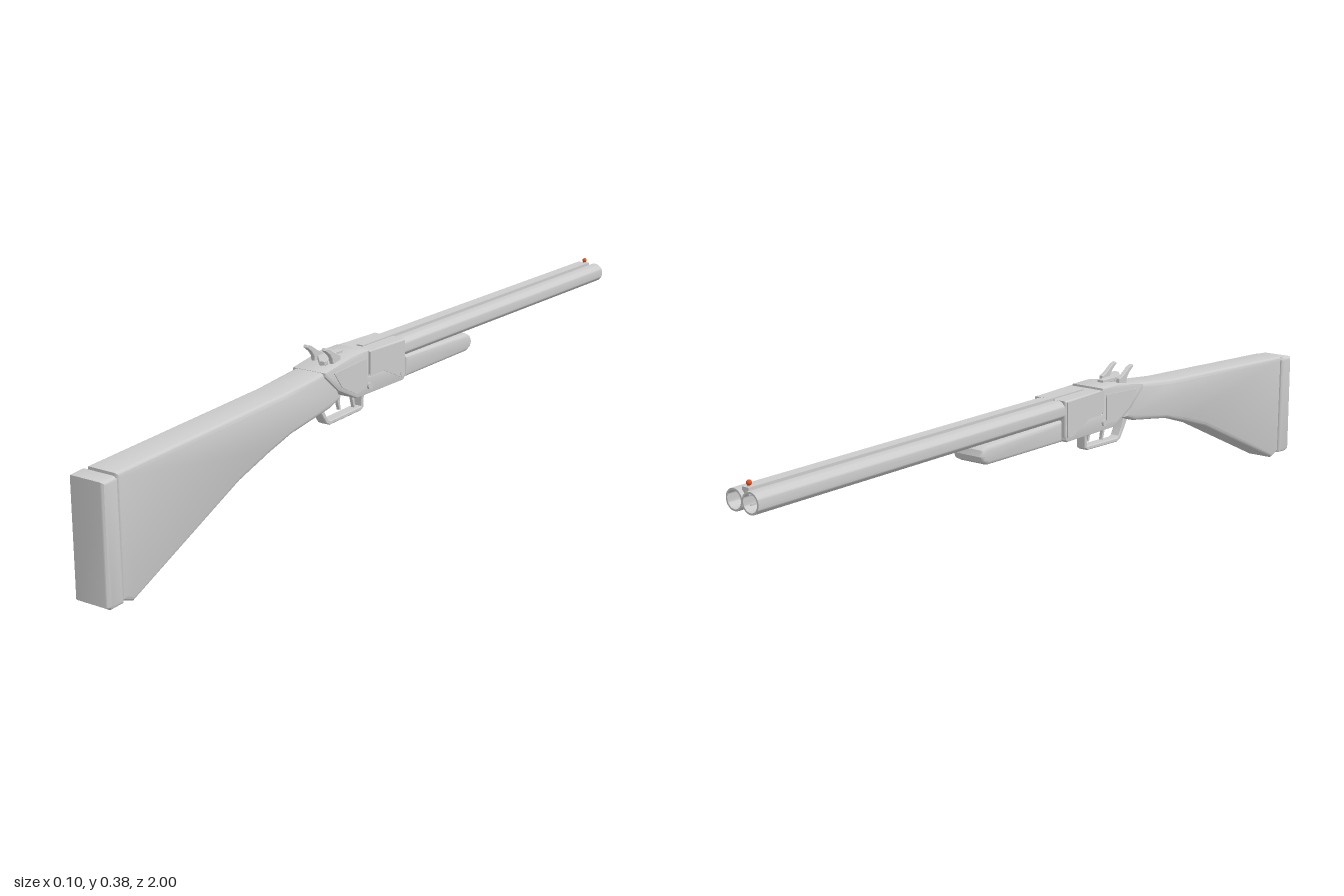
import * as THREE from 'three';
import { toCreasedNormals } from 'three/addons/utils/BufferGeometryUtils.js';

const grey = new THREE.MeshStandardMaterial({ color: 0xcccccc });
const beadRed = new THREE.MeshStandardMaterial({ color: 0xe8501e });

export function createModel() {
  const group = new THREE.Group();

  const add = (name, geometry, x = 0, y = 0, z = 0, material = grey) => {
    const mesh = new THREE.Mesh(geometry, material);
    mesh.name = name;
    mesh.position.set(x, y, z);
    group.add(mesh);
    return mesh;
  };

  // Side outline of [z, y] points, extruded across x with rounded edges
  const slab = (points, width, bevel = 0, segments = 3) => {
    const shape = new THREE.Shape(points.map(([z, y]) => new THREE.Vector2(z, y)));
    const geometry = new THREE.ExtrudeGeometry(shape, {
      depth: width - 2 * bevel, bevelEnabled: bevel > 0, bevelSize: bevel,
      bevelThickness: bevel, bevelOffset: -bevel, bevelSegments: segments,
    });
    geometry.translate(0, 0, bevel - width / 2);
    geometry.rotateY(-Math.PI / 2);
    return toCreasedNormals(geometry, 0.6);
  };

  // Stock and butt pad
  add('stock', slab([
    [0.955, 0.28], [0.42, 0.31], [0.25, 0.328], [0.22, 0.25], [0.26, 0.235],
    [0.4, 0.213], [0.48, 0.19], [0.58, 0.157], [0.92, 0], [0.952, 0.012],
  ], 0.084, 0.01));
  add('buttPad', slab([
    [1, 0.274], [0.962, 0.277], [0.955, 0.27], [0.952, 0.008], [0.99, 0.006], [1, 0.012],
  ], 0.092, 0.008));

  // Receiver with its sloping rear
  add('receiver', slab([
    [0.285, 0.325], [0.18, 0.342], [0.118, 0.342], [0.118, 0.28], [-0.028, 0.28],
    [-0.028, 0.244], [-0.022, 0.238], [0.165, 0.238], [0.235, 0.272], [0.285, 0.315],
  ], 0.094, 0.004, 2));
  add('barrelBlock', slab([
    [0.114, 0.338], [-0.03, 0.338], [-0.03, 0.25], [0.114, 0.25],
  ], 0.092, 0.003, 1));

  // Raised plates and hinge pin on both sides
  for (const side of [-1, 1]) {
    add('sidePlate', slab([
      [0.118, 0.338], [0.118, 0.285], [0.06, 0.28], [0.02, 0.262], [-0.005, 0.25],
      [-0.024, 0.25], [-0.024, 0.335],
    ], 0.004), side * 0.0475);
    add('lockPlate', slab([
      [0.255, 0.318], [0.13, 0.325], [0.13, 0.255], [0.17, 0.25], [0.225, 0.278],
    ], 0.003), side * 0.0475);
  }
  add('breechPin', new THREE.CylinderGeometry(0.008, 0.008, 0.104, 16).rotateZ(Math.PI / 2), 0, 0.258, 0.12);
  add('hingePin', new THREE.CylinderGeometry(0.009, 0.009, 0.1, 16).rotateZ(Math.PI / 2), 0, 0.258, -0.014);

  // Twin barrels, hollow from the muzzle
  const bore = [[0, 0.09], [0.024, 0.09], [0.024, -0.998], [0.0235, -1], [0.0195, -1], [0.0195, -0.3], [0, -0.3]]
    .map(([r, z]) => new THREE.Vector2(r, -z));
  const tube = toCreasedNormals(
    new THREE.LatheGeometry(bore, 32).rotateX(-Math.PI / 2), 0.6);
  tube.computeBoundingBox();
  for (const side of [-1, 1]) {
    const barrel = add('barrel', tube, side * 0.0225, 0.314, 0);
    barrel.material = new THREE.MeshStandardMaterial({ color: 0xcccccc, side: THREE.DoubleSide });
  }

  // Sighting rib, lower rib and bead
  add('topRib', new THREE.BoxGeometry(0.018, 0.016, 1.08), 0, 0.333, -0.45);
  add('lowerRib', new THREE.BoxGeometry(0.014, 0.012, 1.05), 0, 0.3, -0.46);
  add('sightPost', new THREE.CylinderGeometry(0.003, 0.004, 0.008, 12), 0, 0.343, -0.98);
  add('sightBead', new THREE.SphereGeometry(0.006, 16, 12), 0, 0.348, -0.98, beadRed);

  // Forend with a rounded nose, and its iron
  add('forend', slab([
    [-0.036, 0.292], [-0.31, 0.288], [-0.324, 0.28], [-0.33, 0.266], [-0.324, 0.252],
    [-0.308, 0.244], [-0.036, 0.241],
  ], 0.088, 0.009));
  add('forendIron', slab([
    [-0.036, 0.29], [-0.165, 0.29], [-0.135, 0.238], [-0.036, 0.238],
  ], 0.034, 0.002, 1));

  // Trigger guard: a bent strap
  add('triggerGuard', slab([
    [0.27, 0.24], [0.255, 0.215], [0.238, 0.19], [0.225, 0.184], [0.102, 0.188], [0.092, 0.194],
    [0.09, 0.245], [0.099, 0.245], [0.101, 0.198], [0.222, 0.194],
    [0.231, 0.198], [0.242, 0.216], [0.255, 0.246],
  ], 0.026, 0.002, 1));

  // Two curved triggers
  for (const [x, z] of [[-0.008, 0.167], [0.008, 0.132]]) {
    add('trigger', slab([
      [-0.008, 0.245], [-0.003, 0.222], [-0.007, 0.202], [-0.001, 0.202],
      [0.005, 0.222], [0.008, 0.245],
    ], 0.009, 0.001, 1), x, 0, z);
  }

  // Hammers with swept-back spurs
  for (const side of [-1, 1]) {
    add('hammer', slab([
      [0.235, 0.325], [0.205, 0.33], [0.207, 0.348], [0.225, 0.356], [0.248, 0.371],
      [0.262, 0.375], [0.266, 0.37], [0.248, 0.357], [0.238, 0.345],
    ], 0.011, 0.0015, 1), side * 0.0255);
  }

  // Top lever, angled towards one side
  const lever = new THREE.Shape([
    [-0.007, -0.17], [0.007, -0.17], [0.009, -0.225], [0.034, -0.262],
    [0.033, -0.272], [0.022, -0.274], [-0.008, -0.24],
  ].map(([x, y]) => new THREE.Vector2(x, y)).reverse());
  add('topLever', toCreasedNormals(new THREE.ExtrudeGeometry(lever, {
    depth: 0.008, bevelEnabled: true, bevelSize: 0.001, bevelThickness: 0.001, bevelSegments: 1,
  }).rotateX(-Math.PI / 2), 0.6), 0, 0.339, 0);
  add('leverPivot', new THREE.CylinderGeometry(0.01, 0.01, 0.018, 16), 0, 0.337, 0.225);

  return group;
}
